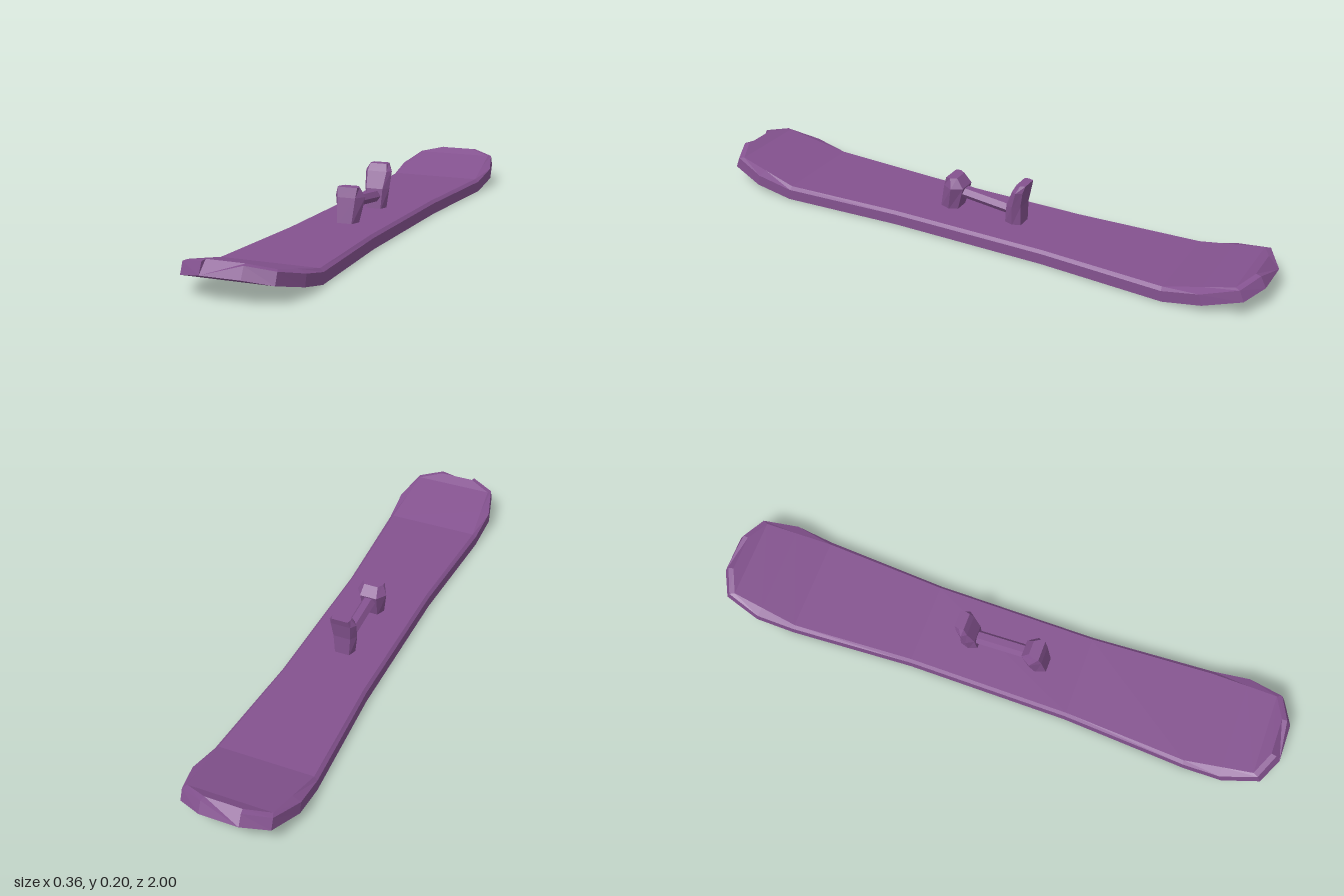
import * as THREE from 'three';

// Skin a series of convex rings (each counterclockwise seen from the travel direction) and cap both ends.
function loft(rings) {
  const pos = [];
  const tri = (a, b, c) => pos.push(...a, ...b, ...c);
  const n = rings[0].length;
  for (let r = 0; r < rings.length - 1; r++) {
    const a = rings[r], b = rings[r + 1];
    for (let i = 0; i < n; i++) {
      const j = (i + 1) % n;
      tri(a[i], a[j], b[j]);
      tri(a[i], b[j], b[i]);
    }
  }
  const first = rings[0], last = rings[rings.length - 1];
  for (let i = 1; i < n - 1; i++) {
    tri(first[0], first[i + 1], first[i]);
    tri(last[0], last[i], last[i + 1]);
  }
  const g = new THREE.BufferGeometry();
  g.setAttribute('position', new THREE.Float32BufferAttribute(pos, 3));
  g.computeVertexNormals();
  return g;
}

// Upright post section: half widths at the front, middle and back z.
const postRing = ([y, wf, zf, wm, zm, wb, zb]) => [
  [wf, y, zf], [wm, y, zm], [wb, y, zb], [-wb, y, zb], [-wm, y, zm], [-wf, y, zf],
];

export function createModel() {
  const group = new THREE.Group();
  const purple = new THREE.MeshStandardMaterial({ color: 0x84528f });
  purple.flatShading = true;
  const add = (name, geometry) => {
    const mesh = new THREE.Mesh(geometry, purple);
    mesh.name = name;
    group.add(mesh);
  };

  // Board: z, half width, underside height, z setback of the upper edge and of the bevelled top, bevel inset
  const half = [
    [0.28, 0.15, 0, 0, 0, 0.01],
    [0.71, 0.174, 0, 0.005, 0.007, 0.012],
    [0.84, 0.18, 0.028, 0.01, 0.014, 0.03],
    [0.96, 0.148, 0.059, 0.015, 0.032, 0.008],
    [1.0, 0.065, 0.076, 0.018, 0.036, 0.003],
  ];
  const boardRing = ([z, w, y, d1, d2, inset], s) => {
    const z1 = s * (z - d1), z2 = s * (z - d2), wi = w - inset;
    const yo = y + 0.037, yi = y + (z > 0.9 ? 0.039 : 0.047);
    return [[-w, y, s * z], [w, y, s * z], [w, yo, z1], [wi, yi, z2], [-wi, yi, z2], [-w, yo, z1]];
  };
  add('board', loft([
    ...half.slice().reverse().map((r) => boardRing(r, -1)),
    ...half.map((r) => boardRing(r, 1)),
  ]));

  // Binding posts, widening upwards with chamfered tops
  add('frontPost', loft([
    [0.04, 0.025, 0.17, 0.037, 0.135, 0.025, 0.105],
    [0.13, 0.032, 0.152, 0.053, 0.115, 0.03, 0.08],
    [0.163, 0.035, 0.142, 0.037, 0.125, 0.025, 0.105],
  ].map(postRing)));
  add('rearPost', loft([
    [0.04, 0.025, -0.08, 0.035, -0.11, 0.025, -0.14],
    [0.115, 0.03, -0.088, 0.045, -0.115, 0.03, -0.14],
    [0.172, 0.035, -0.112, 0.048, -0.13, 0.035, -0.15],
    [0.197, 0.03, -0.125, 0.033, -0.14, 0.028, -0.157],
  ].map(postRing)));

  // Six-sided bar joining the posts, sloping down to the rear
  const barRing = (z, y) => [
    [-0.012, y - 0.018, z], [0.012, y - 0.018, z], [0.024, y, z],
    [0.012, y + 0.018, z], [-0.012, y + 0.018, z], [-0.024, y, z],
  ];
  add('crossBar', loft([barRing(-0.105, 0.088), barRing(0.1, 0.109)]));

  return group;
}
